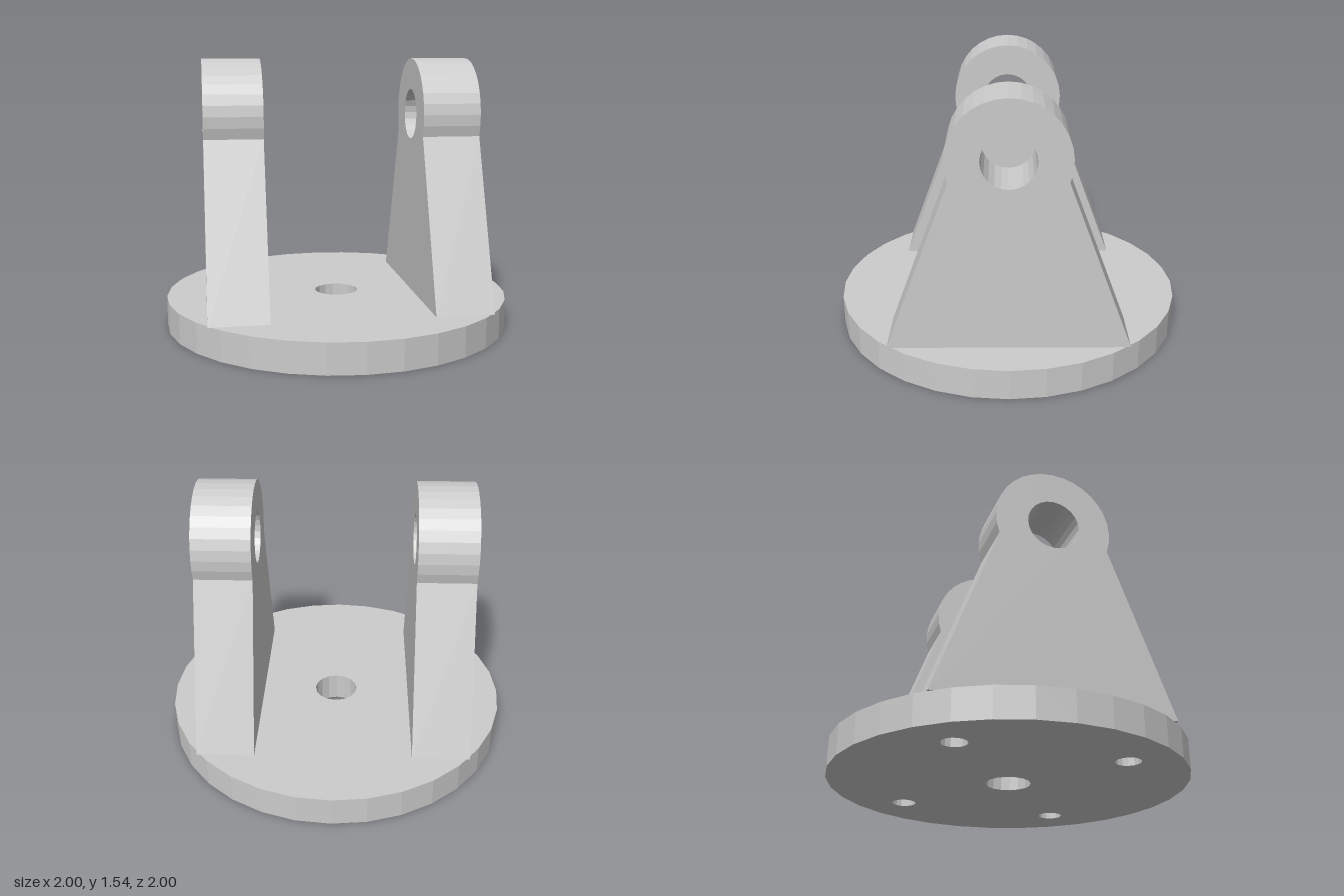
import * as THREE from 'three';

const PLATE_H = 0.17;

// Points along a circular arc
function arc(cx, cy, r, segments, start = 0, sweep = Math.PI * 2, closed = true) {
  const count = closed ? segments : segments + 1;
  return Array.from({ length: count }, (_, i) => {
    const a = start + (sweep * i) / segments;
    return new THREE.Vector2(cx + r * Math.cos(a), cy + r * Math.sin(a));
  });
}

function extrude(shape, depth) {
  return new THREE.ExtrudeGeometry(shape, { depth, bevelEnabled: false });
}

export function createModel() {
  const group = new THREE.Group();
  const material = new THREE.MeshStandardMaterial({ color: 0xcccccc, flatShading: true });

  // Round base plate with a centre bore and four bolt holes under the brackets
  const disc = new THREE.Shape(arc(0, 0, 1, 32));
  disc.holes.push(new THREE.Path(arc(0, 0, 0.127, 16)));
  for (const x of [-0.565, 0.565]) {
    for (const z of [-0.465, 0.465]) {
      disc.holes.push(new THREE.Path(arc(x, z, 0.07, 14)));
    }
  }
  const plate = new THREE.Mesh(extrude(disc, PLATE_H).rotateX(-Math.PI / 2), material);
  plate.name = 'basePlate';
  group.add(plate);

  // Bracket profile: tapered web running into a round eye
  const eyeY = 1.22;
  const dip = THREE.MathUtils.degToRad(19.8);
  const profile = new THREE.Shape([
    new THREE.Vector2(-0.655, PLATE_H),
    new THREE.Vector2(0.655, PLATE_H),
    ...arc(0, eyeY, 0.325, 20, -dip, Math.PI + 2 * dip, false),
  ]);
  profile.holes.push(new THREE.Path(arc(0, eyeY, 0.146, 24)));
  const width = 0.327;
  const bracketGeometry = extrude(profile, width)
    .translate(0, 0, -width / 2)
    .rotateY(Math.PI / 2);

  for (const side of [1, -1]) {
    const bracket = new THREE.Mesh(bracketGeometry, material);
    bracket.name = side > 0 ? 'leftBracket' : 'rightBracket';
    bracket.position.x = side * 0.609;
    group.add(bracket);
  }

  return group;
}
